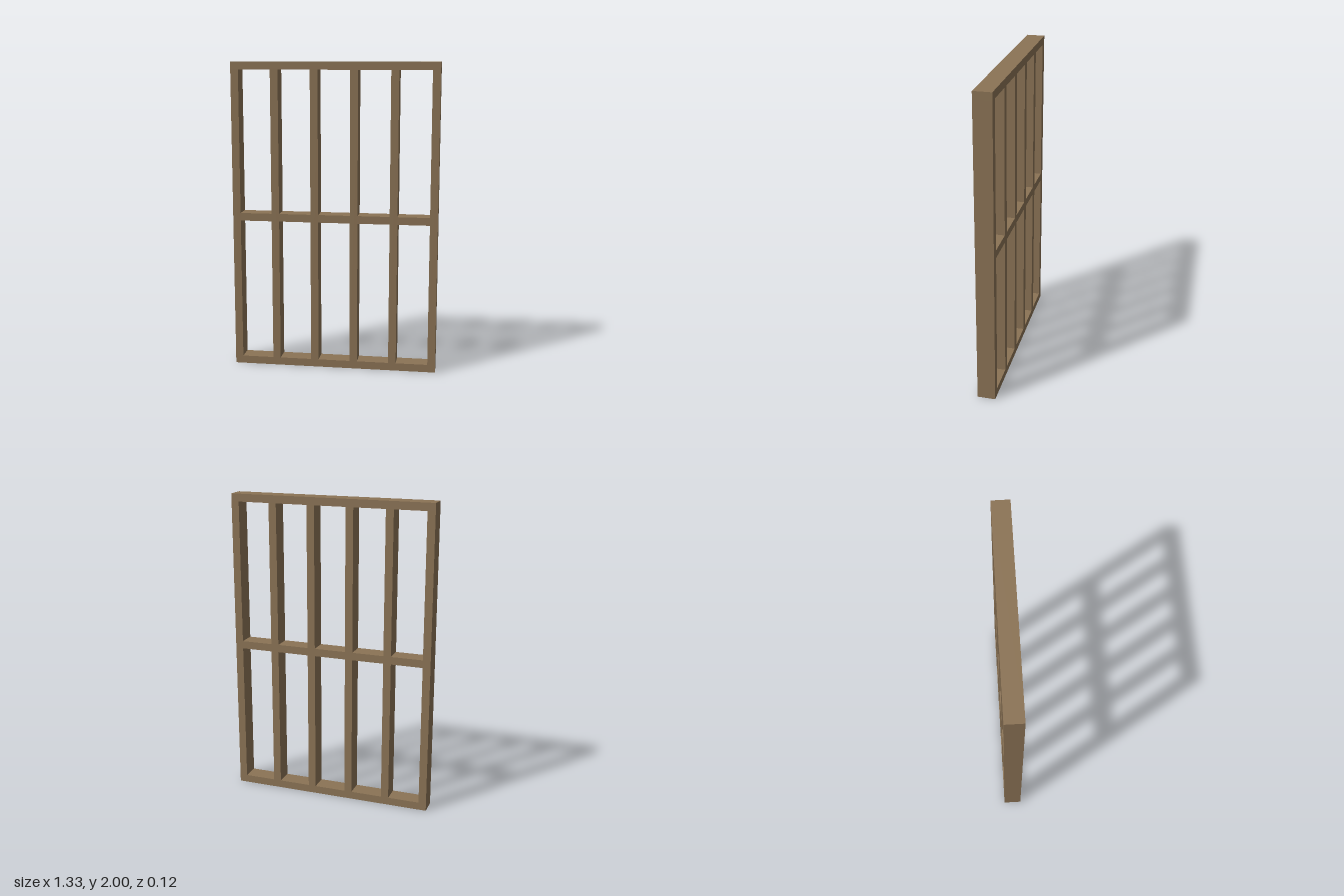
import * as THREE from 'three';

const WIDTH = 1.333, HEIGHT = 2, DEPTH = 0.115, T = 0.05, BAYS = 5;

export function createModel() {
  const model = new THREE.Group();
  model.name = 'timberWallFrame';
  const timber = new THREE.MeshStandardMaterial({ color: 0x8b7355 });
  timber.name = 'timber';

  const addBeam = (name, w, h, x, y) => {
    const mesh = new THREE.Mesh(new THREE.BoxGeometry(w, h, DEPTH), timber);
    mesh.name = name;
    mesh.position.set(x, y, 0);
    model.add(mesh);
  };

  // Bottom and top plates span the full width
  addBeam('bottomPlate', WIDTH, T, 0, T / 2);
  addBeam('topPlate', WIDTH, T, 0, HEIGHT - T / 2);

  // Evenly spaced studs stand between the plates
  const pitch = (WIDTH - T) / BAYS;
  const studX = (i) => (i - BAYS / 2) * pitch;
  for (let i = 0; i <= BAYS; i++) {
    addBeam(`stud${i + 1}`, T, HEIGHT - 2 * T, studX(i), HEIGHT / 2);
  }

  // Short cross pieces brace each bay at mid height
  for (let i = 0; i < BAYS; i++) {
    addBeam(`crossPiece${i + 1}`, pitch - T, T, studX(i + 0.5), HEIGHT / 2);
  }

  return model;
}
